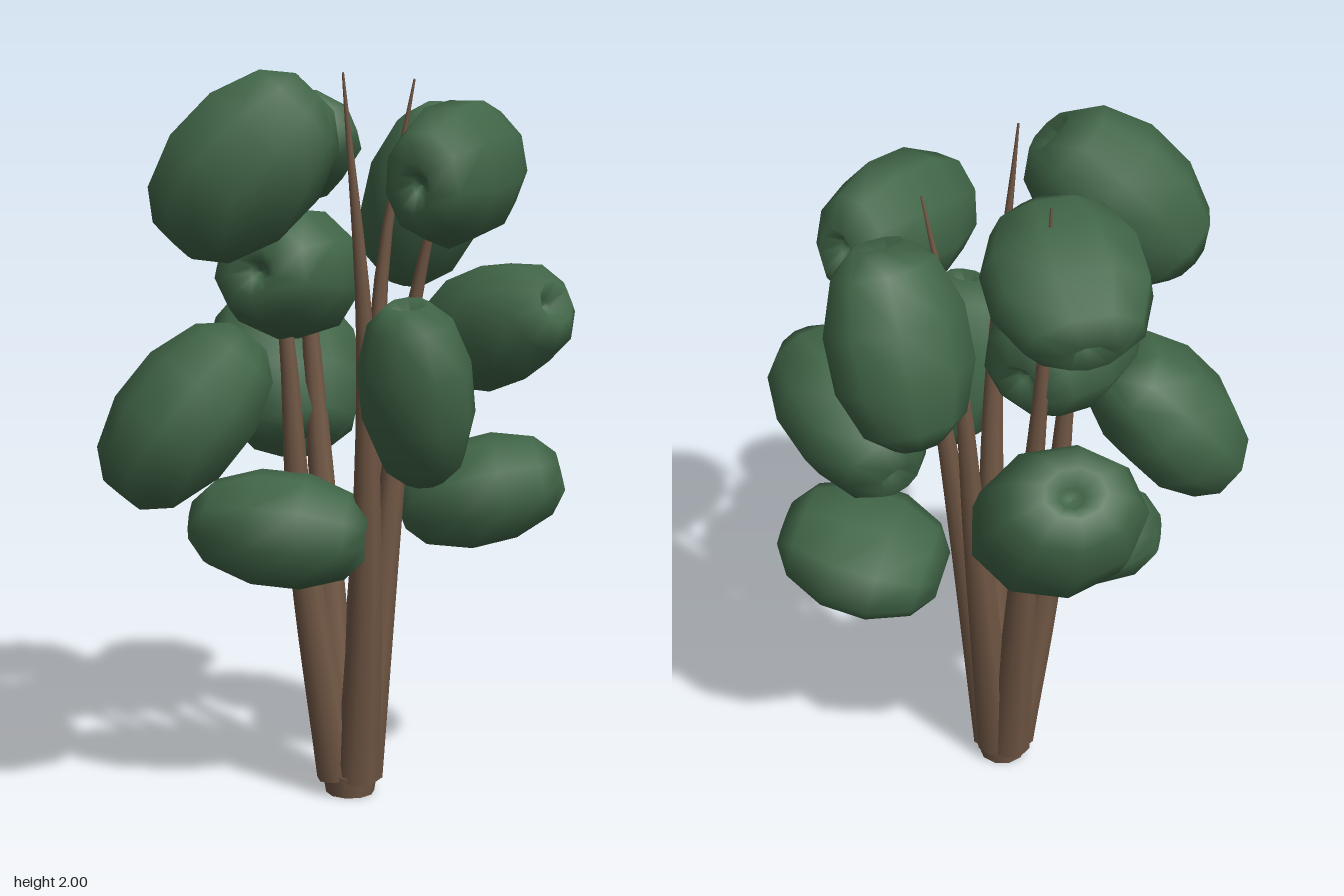
import * as THREE from 'three';

const bark = new THREE.MeshStandardMaterial({ color: 0x735946 });
bark.name = 'bark brown';
const leaf = new THREE.MeshStandardMaterial({ color: 0x416648 });
leaf.name = 'leaf green';

const V = (p) => new THREE.Vector3(...p);

// Leaf clump: a low-poly spindle with a dimple at both poles
function clumpGeometry() {
  const half = [[0, 0.74], [0.14, 0.78], [0.36, 0.96], [0.74, 0.75], [1, 0.27]];
  const profile = [
    ...half.map(([r, y]) => new THREE.Vector2(r, -y)),
    ...half.slice().reverse().map(([r, y]) => new THREE.Vector2(r, y)),
  ];
  return new THREE.LatheGeometry(profile, 9);
}

// Stem: a tube along a curve, tapered to a fine tip
function stemGeometry(points, baseRadius, tipRadius) {
  const steps = 14, sides = 8;
  const curve = new THREE.CatmullRomCurve3(points.map(V));
  const geo = new THREE.TubeGeometry(curve, steps, 1, sides);
  const pos = geo.attributes.position;
  const v = new THREE.Vector3();
  for (let i = 0; i <= steps; i++) {
    const centre = curve.getPointAt(i / steps);
    const r = THREE.MathUtils.lerp(baseRadius, tipRadius, i / steps);
    for (let j = 0; j <= sides; j++) {
      const k = i * (sides + 1) + j;
      v.fromBufferAttribute(pos, k).sub(centre).multiplyScalar(r).add(centre);
      pos.setXYZ(k, v.x, v.y, v.z);
    }
  }
  return geo;
}

export function createModel() {
  const model = new THREE.Group();
  model.name = 'tree';
  const add = (name, geo, material) => {
    const mesh = new THREE.Mesh(geo, material);
    mesh.name = name;
    model.add(mesh);
    return mesh;
  };

  // Stump under the stems
  add('stump', new THREE.CylinderGeometry(0.078, 0.068, 0.06, 10), bark).position.set(0.01, 0.03, 0);

  // Stems fanning out from the stump: path and tip radius
  const baseRadius = 0.062;
  const stems = [
    [[[0.036, 0.05, 0.02], [0.07, 0.6, 0.09], [0.08, 1.3, 0.155], [0.03, 1.99, 0.2]], 0.003],
    [[[0.02, 0.05, -0.02], [0.04, 0.9, -0.14], [0.07, 1.5, -0.18], [0.15, 1.97, -0.195]], 0.003],
    [[[0.04, 0.05, 0], [0.12, 0.9, -0.05], [0.16, 1.3, -0.08], [0.25, 1.72, -0.05]], 0.008],
    [[[-0.02, 0.05, -0.02], [-0.1, 0.9, -0.13], [-0.15, 1.5, -0.16], [-0.17, 1.98, -0.17]], 0.003],
    [[[-0.02, 0.05, 0.015], [-0.11, 0.7, 0.06], [-0.15, 1.3, 0.08], [-0.18, 1.5, 0.08]], 0.014],
  ];
  for (const [path, tip] of stems) {
    add('stem', stemGeometry(path, baseRadius, tip), bark);
    const cap = add('stemBase', new THREE.CircleGeometry(baseRadius, 8), bark);
    cap.rotation.x = Math.PI / 2;
    cap.position.copy(V(path[0]));
  }

  // Leaf clumps: centre, pole axis, half sizes [sideways, along axis, thickness]
  const clumps = [
    [[-0.207, 1.755, 0.315], [0.68, 0.72, -0.18], [0.167, 0.272, 0.192]],
    [[-0.14, 1.46, 0.06], [-0.25, 0.1, 0.95], [0.182, 0.23, 0.172]],
    [[-0.367, 1.105, 0.315], [0.57, 0.76, -0.31], [0.228, 0.275, 0.165]],
    [[-0.238, 1.145, -0.3], [-0.32, 0.8, -0.5], [0.22, 0.262, 0.18]],
    [[-0.155, 0.775, 0.15], [0.98, -0.08, -0.06], [0.158, 0.25, 0.155]],
    [[0.345, 0.832, -0.195], [0.93, 0.25, -0.12], [0.215, 0.237, 0.148]],
    [[0.24, 1.178, 0.29], [-0.05, 0.96, 0.25], [0.147, 0.256, 0.135]],
    [[0.37, 1.295, -0.2], [0.75, 0.35, 0.55], [0.167, 0.262, 0.163]],
    [[0.305, 1.73, 0.045], [-0.33, -0.12, 0.94], [0.145, 0.258, 0.185]],
    [[0.155, 1.645, -0.365], [0.25, 0.94, 0.2], [0.18, 0.27, 0.15]],
    [[-0.21, 1.775, -0.155], [0.5, 0.42, 0.76], [0.203, 0.235, 0.142]],
  ];
  const clumpGeo = clumpGeometry();
  const up = new THREE.Vector3(0, 1, 0);
  for (const [centre, axis, [side, along, thick]] of clumps) {
    const clump = add('leafClump', clumpGeo, leaf);
    const y = V(axis).normalize();
    const x = up.clone().cross(y).normalize();
    const z = x.clone().cross(y);
    clump.quaternion.setFromRotationMatrix(new THREE.Matrix4().makeBasis(x, y, z));
    clump.position.copy(V(centre));
    clump.scale.set(side * 1.03, along, thick * 1.03);
  }
  return model;
}
